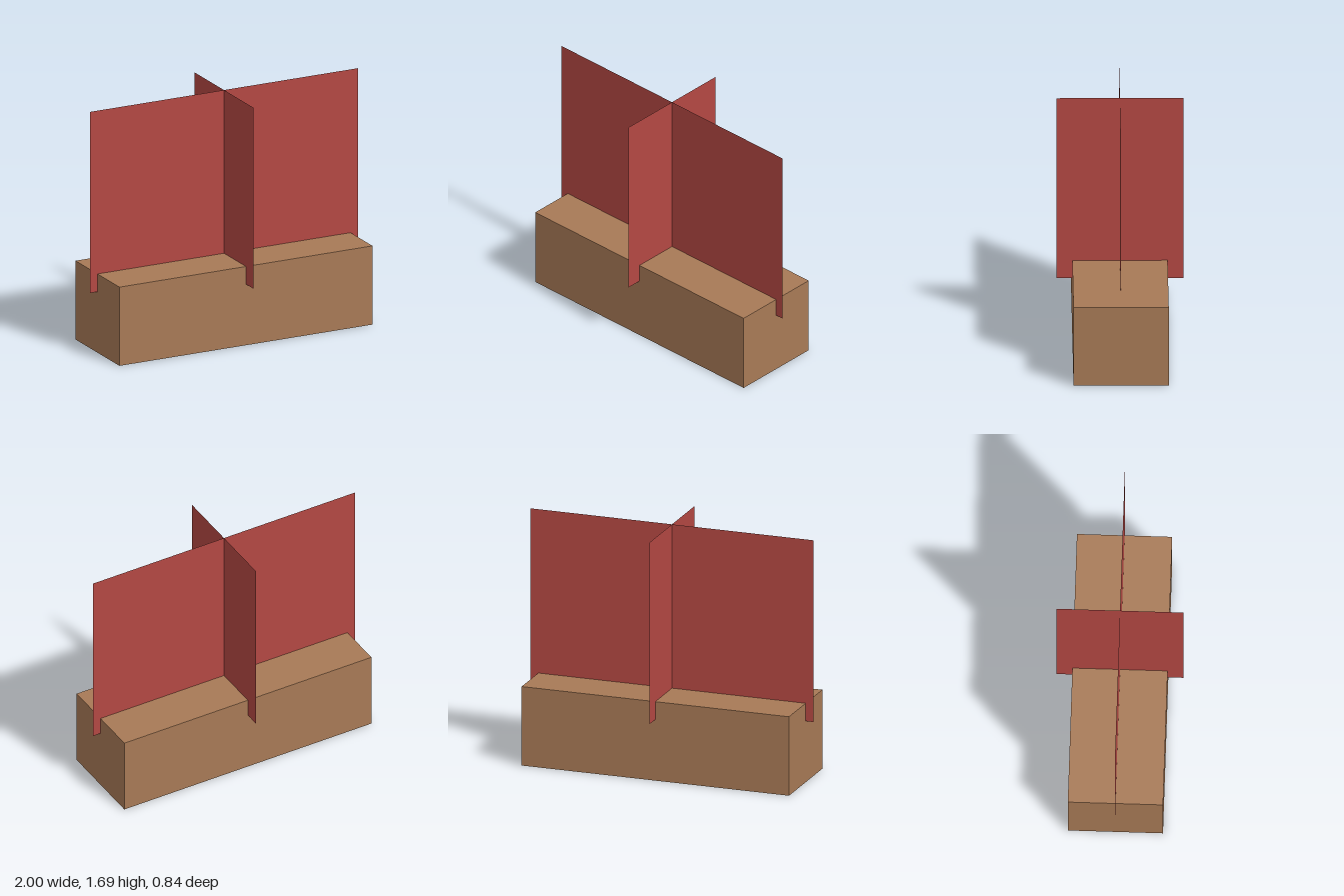
import * as THREE from 'three';

export function createModel() {
  const model = new THREE.Group();
  model.name = 'planter';

  const wood = new THREE.MeshStandardMaterial({ color: 0xa87a56 });
  wood.name = 'brown wood';
  const foliage = new THREE.MeshStandardMaterial({ color: 0xb44843, side: THREE.DoubleSide });
  foliage.name = 'red foliage';

  // Solid trough standing on the ground
  const trough = new THREE.Mesh(new THREE.BoxGeometry(1.888, 0.548, 0.63), wood);
  trough.name = 'trough';
  trough.position.y = 0.274;
  model.add(trough);

  // Two crossed flat cards, sunk into the trough and overhanging its sides
  const bottom = 0.424, top = 1.685;
  const addCard = (name, width, turn) => {
    const card = new THREE.Mesh(new THREE.PlaneGeometry(width, top - bottom), foliage);
    card.name = name;
    card.position.y = (top + bottom) / 2;
    card.rotation.y = turn;
    model.add(card);
  };
  addCard('longFoliageCard', 2, 0);
  addCard('crossFoliageCard', 0.842, Math.PI / 2);

  return model;
}
